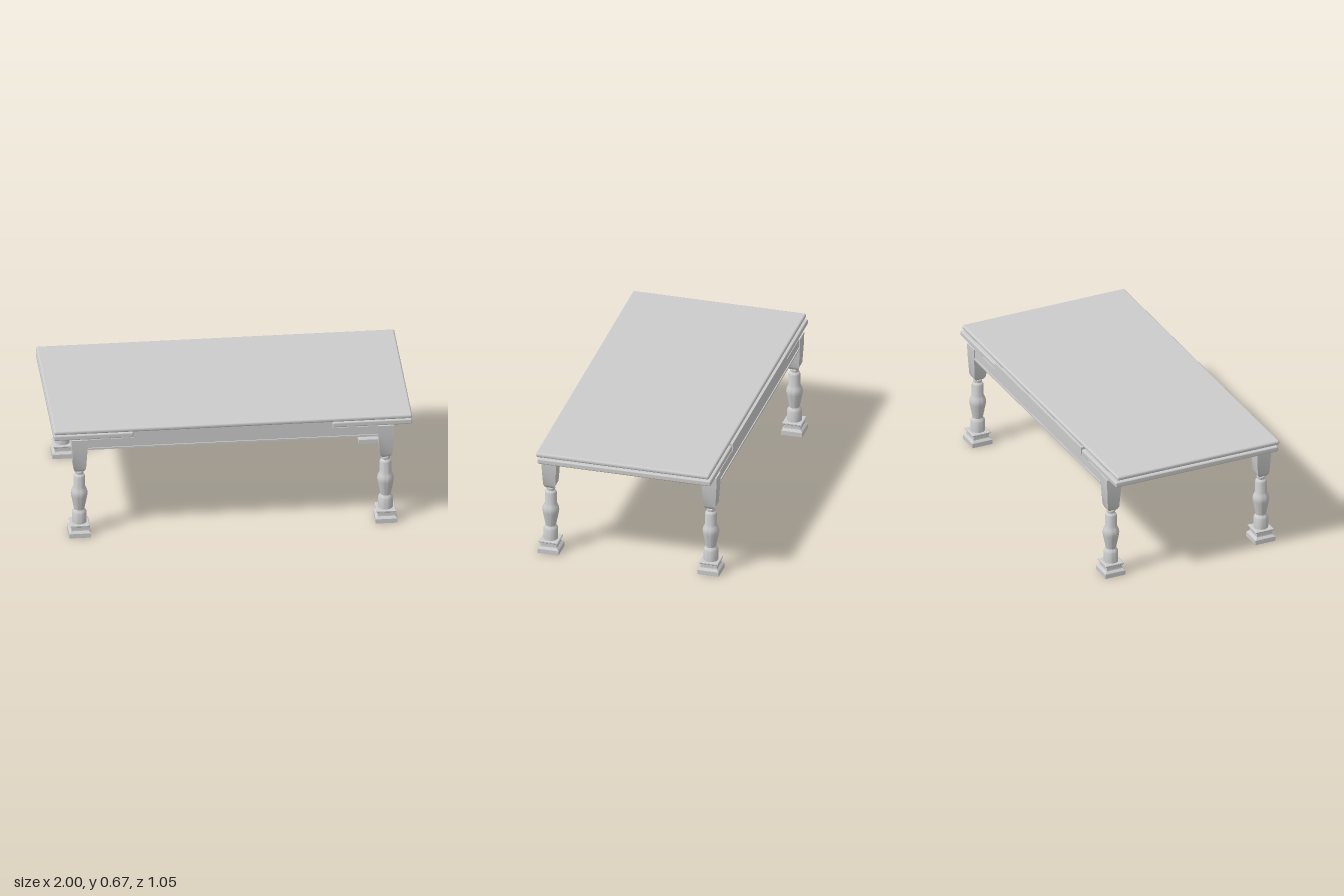
import * as THREE from 'three';
import { RoundedBoxGeometry } from 'three/addons/geometries/RoundedBoxGeometry.js';
import { toCreasedNormals } from 'three/addons/utils/BufferGeometryUtils.js';

const grey = new THREE.MeshStandardMaterial({ color: 0xcccccc });

function add(parent, name, geometry, x = 0, y = 0, z = 0) {
  const mesh = new THREE.Mesh(geometry, grey);
  mesh.name = name;
  mesh.position.set(x, y, z);
  parent.add(mesh);
  return mesh;
}

// Revolve a [half width, height] profile; four sides give a square section.
function turned(profile, sides) {
  const square = sides === 4;
  const k = square ? Math.SQRT2 : 1;
  const points = profile.map(([r, y]) => new THREE.Vector2(r * k, y));
  const geometry = new THREE.LatheGeometry(points, sides);
  if (square) geometry.rotateY(Math.PI / 4);
  return toCreasedNormals(geometry, 0.5);
}

function slab(w, d, y0, y1, r) {
  return new RoundedBoxGeometry(w, y1 - y0, d, 3, r).translate(0, (y0 + y1) / 2, 0);
}

function box(w, d, y0, y1) {
  return new THREE.BoxGeometry(w, y1 - y0, d).translate(0, (y0 + y1) / 2, 0);
}

const FOOT = [
  [0, 0], [0.061, 0], [0.061, 0.026], [0.058, 0.03], [0.048, 0.038], [0.046, 0.05],
  [0.047, 0.06], [0.055, 0.066], [0.055, 0.072], [0.05, 0.075], [0, 0.075],
];
const TURNING = [
  [0.041, 0.07], [0.041, 0.138], [0.037, 0.146], [0.029, 0.157], [0.031, 0.168],
  [0.045, 0.24], [0.047, 0.255], [0.045, 0.27], [0.039, 0.284], [0.033, 0.298],
  [0.033, 0.362], [0.03, 0.37], [0.021, 0.378], [0.021, 0.382], [0.024, 0.384],
  [0.025, 0.389], [0.024, 0.395], [0.02, 0.397], [0.02, 0.405],
];
const BLOCK = [
  [0, 0.398], [0.02, 0.398], [0.028, 0.407], [0.035, 0.422], [0.043, 0.55], [0.044, 0.606], [0, 0.606],
];

export function createModel() {
  const table = new THREE.Group();
  table.name = 'drawLeafTable';

  // Top and the pull-out leaves stored beneath it
  add(table, 'tableTop', slab(2, 1, 0.646, 0.672, 0.011), 0, 0, 0.01);
  for (const s of [-1, 1]) add(table, 'drawLeaf', slab(0.445, 1, 0.606, 0.638, 0.008), s * 0.7775);
  add(table, 'centrePanel', box(1.11, 1.006, 0.6, 0.648));

  // Frame under the leaves, with a bead along its lower edge
  add(table, 'apron', box(1.75, 1, 0.545, 0.606));
  for (const s of [-1, 1]) add(table, 'apronBead', box(1.62, 0.012, 0.545, 0.555), 0, 0, s * 0.5);

  // Four turned legs
  const foot = turned(FOOT, 4), turning = turned(TURNING, 32), block = turned(BLOCK, 4);
  for (const x of [-0.855, 0.855]) {
    for (const z of [-0.462, 0.462]) {
      const leg = new THREE.Group();
      leg.name = 'leg';
      leg.position.set(x, 0, z);
      add(leg, 'foot', foot);
      add(leg, 'turnedShaft', turning);
      add(leg, 'legBlock', block);
      table.add(leg);
    }
  }
  return table;
}
